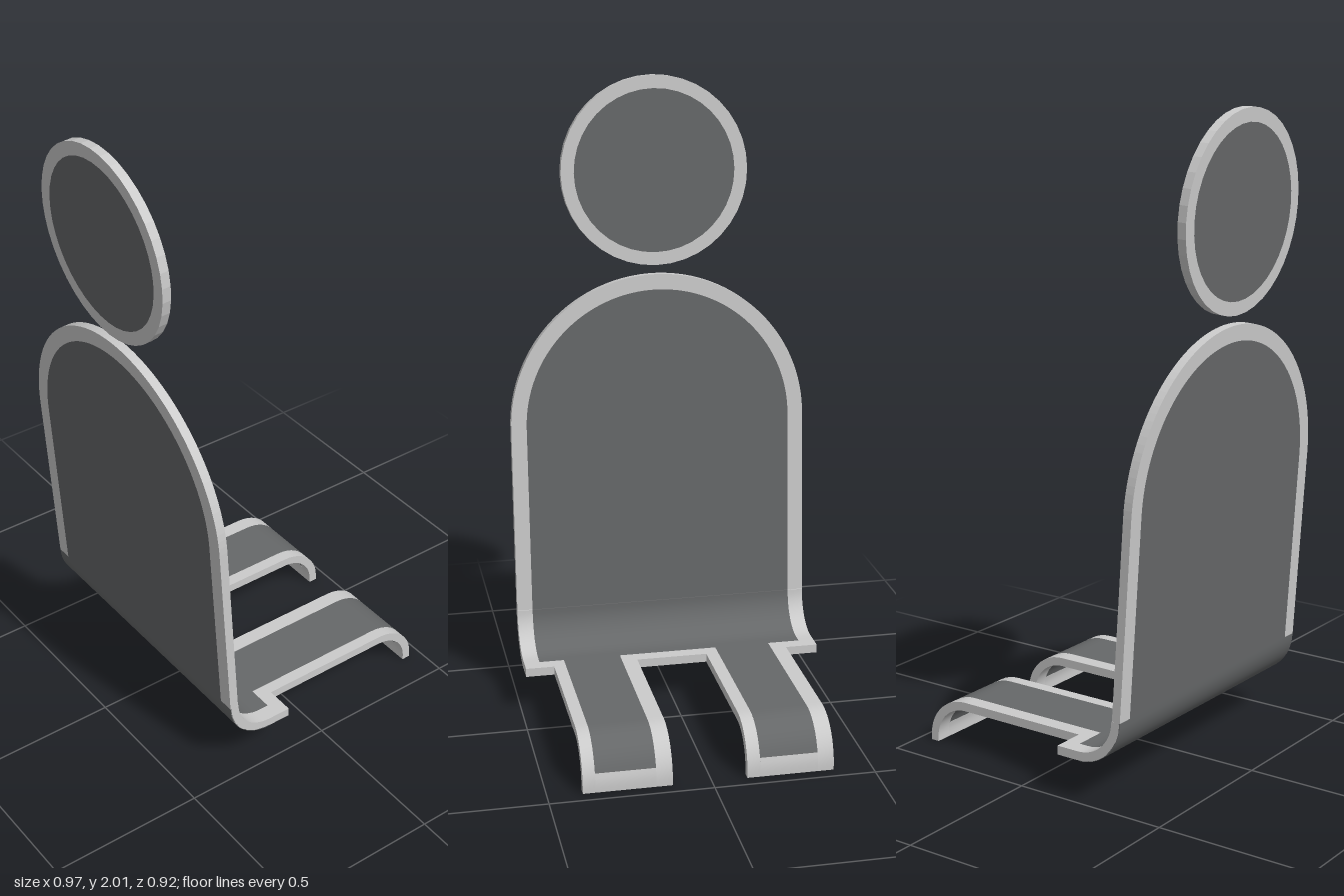
import * as THREE from 'three';

const T = 0.028; // sheet thickness
const frameMat = new THREE.MeshStandardMaterial({ color: 0xcccccc });
const panelMat = new THREE.MeshStandardMaterial({ color: 0x666869 });

// Side profile by arc length: rear bend, flat seat, foot curl, short drop
const BEND = 0.135 * Math.PI / 2, FLAT = 0.52, CURL = 0.125 * Math.PI / 2, DROP = 0.015;
const END = BEND + FLAT + CURL + DROP;

// Position (z, y) and underside normal (nz, ny) at length s
function profile(s) {
  if (s < BEND) {
    const a = s / 0.135, c = Math.cos(a), d = Math.sin(a);
    return { z: 0.2 + 0.135 * c, y: 0.275 - 0.135 * d, nz: c, ny: -d };
  }
  s -= BEND;
  if (s < FLAT) return { z: 0.2 - s, y: 0.14, nz: 0, ny: -1 };
  s -= FLAT;
  const a = Math.min(s / 0.125, Math.PI / 2), c = Math.cos(a), d = Math.sin(a);
  return { z: -0.32 - 0.125 * d, y: 0.015 + 0.125 * c - Math.max(0, s - CURL), nz: d, ny: -c };
}

// Box bent along the profile from s0 to s1, spanning x0 to x1
function strip(name, mat, x0, x1, s0, s1, thick = T, offset = 0) {
  const n = Math.max(1, Math.ceil((s1 - s0) / 0.018));
  const geo = new THREE.BoxGeometry(x1 - x0, thick, s1 - s0, 1, 1, n);
  const p = geo.attributes.position;
  for (let i = 0; i < p.count; i++) {
    const q = profile(p.getZ(i) + (s0 + s1) / 2), o = p.getY(i) + offset;
    p.setXYZ(i, p.getX(i) + (x0 + x1) / 2, q.y + q.ny * o, q.z + q.nz * o);
  }
  geo.computeVertexNormals();
  const mesh = new THREE.Mesh(geo, mat);
  mesh.name = name;
  return mesh;
}

// Flat plate centred on its own thickness
function plate(name, mat, shape, curveSegments) {
  const geo = new THREE.ExtrudeGeometry(shape, { depth: T, bevelEnabled: false, curveSegments });
  geo.translate(0, 0, -T / 2);
  const mesh = new THREE.Mesh(geo, mat);
  mesh.name = name;
  return mesh;
}

function createBackrest() {
  const R = 0.485, r = 0.435, h = 0.615;
  const group = new THREE.Group();
  group.name = 'backrest';
  const panel = new THREE.Shape();
  panel.moveTo(-r, 0).lineTo(r, 0).lineTo(r, h);
  panel.absarc(0, h, r, 0, Math.PI, false);
  const frame = new THREE.Shape();
  frame.moveTo(r, 0).lineTo(R, 0).lineTo(R, h);
  frame.absarc(0, h, R, 0, Math.PI, false);
  frame.lineTo(-R, 0).lineTo(-r, 0).lineTo(-r, h);
  frame.absarc(0, h, r, Math.PI, 0, true);
  group.add(plate('backrestPanel', panelMat, panel, 32), plate('backrestFrame', frameMat, frame, 32));
  group.position.set(0, 0.275, 0.337);
  group.rotation.x = 0.064;
  return group;
}

function createHeadrest() {
  const group = new THREE.Group();
  group.name = 'headrest';
  const disc = new THREE.Shape().absarc(0, 0, 0.26, 0, Math.PI * 2, false);
  const ring = new THREE.Shape().absarc(0, 0, 0.302, 0, Math.PI * 2, false);
  ring.holes.push(new THREE.Path().absarc(0, 0, 0.26, 0, Math.PI * 2, true));
  group.add(plate('headrestPanel', panelMat, disc, 20), plate('headrestFrame', frameMat, ring, 20));
  group.position.set(0, 1.703, 0.43);
  group.rotation.x = 0.064;
  return group;
}

function createSeat() {
  const group = new THREE.Group();
  group.name = 'seat';
  const inner = BEND + 0.03, edge = BEND + 0.075, toe = 0.888;
  // Wide part with its side borders and a dark skin under the bend
  group.add(strip('seatPanel', panelMat, -0.435, 0.435, 0, inner));
  group.add(strip('bendSkin', panelMat, -0.485, 0.485, 0, BEND, 0.003, T / 2));
  group.add(strip('leftSeatBorder', frameMat, 0.435, 0.485, 0, edge));
  group.add(strip('rightSeatBorder', frameMat, -0.485, -0.435, 0, edge));
  // Front border pieces beside and between the legs
  for (const [a, b] of [[-0.435, -0.33], [-0.15, 0.17], [0.355, 0.435]])
    group.add(strip('seatFrontBorder', frameMat, a, b, inner, edge));
  // Legs: outer x, panel x, panel x, outer x
  const legs = { rightLeg: [-0.38, -0.33, -0.15, -0.11], leftLeg: [0.12, 0.17, 0.355, 0.393] };
  for (const [name, [a, b, c, d]] of Object.entries(legs)) {
    const leg = new THREE.Group();
    leg.name = name;
    leg.add(strip('legPanel', panelMat, b, c, inner, toe));
    leg.add(strip('legBorder', frameMat, a, b, edge, END));
    leg.add(strip('legBorder', frameMat, c, d, edge, END));
    leg.add(strip('footBorder', frameMat, b, c, toe, END));
    group.add(leg);
  }
  return group;
}

export function createModel() {
  const model = new THREE.Group();
  model.name = 'seatedFigureChair';
  model.add(createHeadrest(), createBackrest(), createSeat());
  return model;
}
